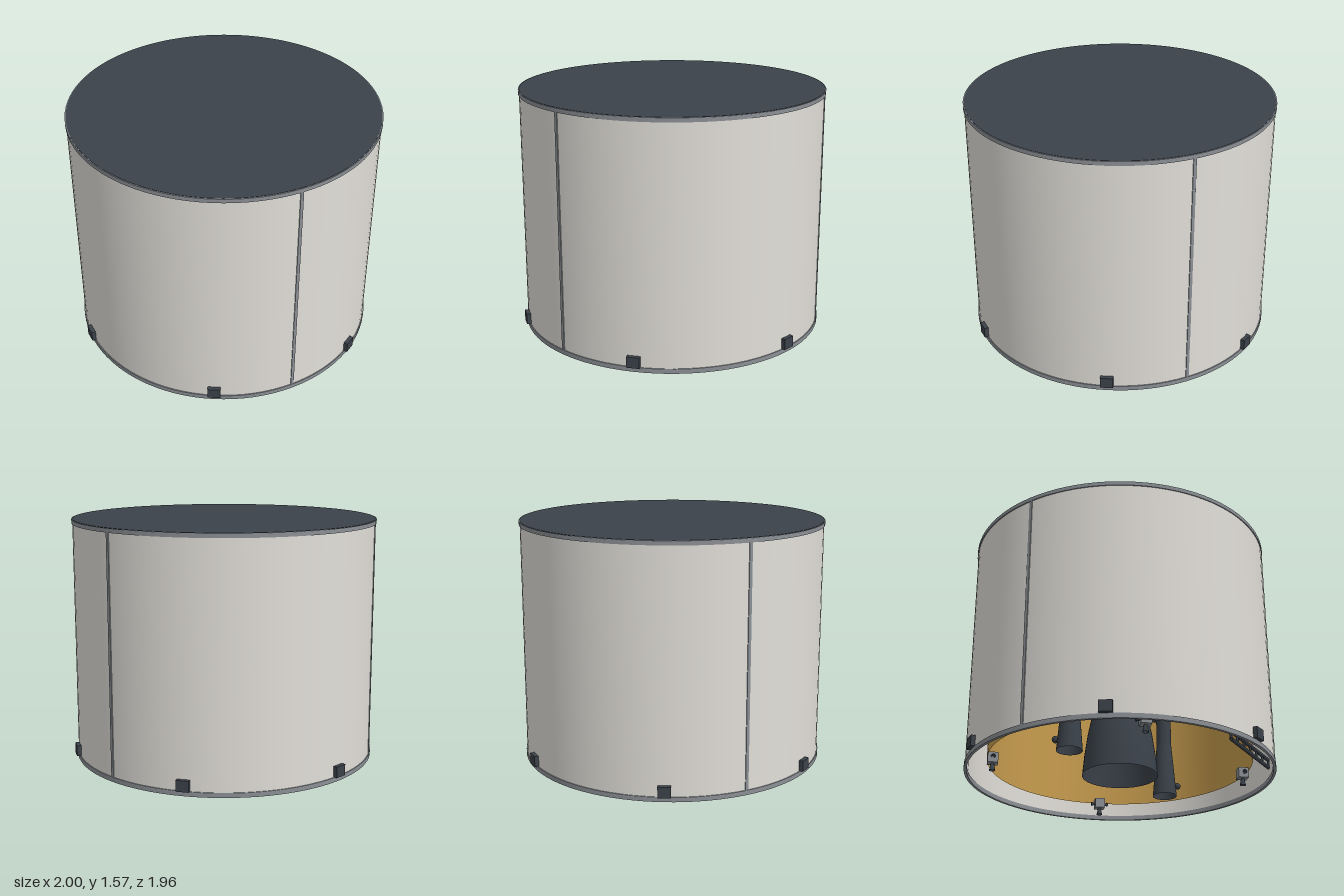
import * as THREE from 'three';
import { toCreasedNormals } from 'three/addons/utils/BufferGeometryUtils.js';

const mat = (name, color, side = THREE.FrontSide) => {
  const m = new THREE.MeshStandardMaterial({ color, side });
  m.name = name;
  return m;
};
const DEG = Math.PI / 180;

export function createModel() {
  const white = mat('warm white', 0xe2dfd9);
  const grey = mat('metal grey', 0x8b9095);
  const dark = mat('dark slate', 0x3b424a, THREE.DoubleSide);
  const gold = mat('gold foil', 0xc79c4e, THREE.DoubleSide);

  const model = new THREE.Group();
  model.name = 'engineSection';

  const add = (name, geometry, material, x = 0, y = 0, z = 0, parent = model) => {
    const mesh = new THREE.Mesh(geometry, material);
    mesh.name = name;
    mesh.position.set(x, y, z);
    parent.add(mesh);
    return mesh;
  };
  const lathe = (pts, segments = 96) =>
    toCreasedNormals(new THREE.LatheGeometry(pts.map(p => new THREE.Vector2(...p)), segments), 0.6);
  // Closed ring with a rectangular section
  const ring = (r0, r1, y0, y1) => lathe([[r0, y0], [r1, y0], [r1, y1], [r0, y1], [r0, y0]]);
  // Group turned so that its local +x points outwards at an angle from +x towards +z
  const radial = (name, angle) => {
    const g = new THREE.Group();
    g.name = name;
    g.rotation.y = -angle * DEG;
    model.add(g);
    return g;
  };
  // Round strut between two points
  const strut = (name, a, b, r, material) => {
    const p = new THREE.Vector3(...a), q = new THREE.Vector3(...b);
    const m = add(name, new THREE.CylinderGeometry(r, r, p.distanceTo(q), 10), material);
    m.position.copy(p).lerp(q, 0.5);
    m.quaternion.setFromUnitVectors(new THREE.Vector3(0, 1, 0), q.sub(p).normalize());
    return m;
  };

  // Outer shell, end rings and top cover
  add('shell', ring(0.965, 0.974, 0.03, 1.55), white);
  add('bottomRing', ring(0.962, 0.98, 0.012, 0.042), grey);
  add('topRing', ring(0.95, 0.98, 1.54, 1.566), grey);
  add('topCover', new THREE.CylinderGeometry(0.974, 0.974, 0.012, 96), dark, 0, 1.562, 0);

  // Three split lines between the shell panels
  for (let i = 0; i < 3; i++) {
    const g = radial('panelSeam', 26 + i * 120);
    add('seamStrip', new THREE.BoxGeometry(0.012, 1.5, 0.02), grey, 0.973, 0.79, 0, g);
  }

  // Six latches round the foot of the shell
  for (let i = 0; i < 6; i++) {
    const g = radial('latch', -4 + i * 60);
    add('latchBlock', new THREE.BoxGeometry(0.032, 0.07, 0.08), dark, 0.984, 0.079, 0, g);
  }

  // Foil-covered inner bay, closed by a bulkhead
  add('foilLiner', new THREE.CylinderGeometry(0.84, 0.84, 1.2, 96, 1, true), gold, 0, 0.69, 0);
  add('foilBulkhead', new THREE.CylinderGeometry(0.84, 0.84, 0.02, 96), gold, 0, 1.28, 0);

  // Main engine bell with its chamber
  add('mainNozzle', new THREE.LatheGeometry([
    [0.24, 0.012], [0.228, 0.14], [0.208, 0.28], [0.18, 0.42], [0.14, 0.56], [0.09, 0.68], [0.065, 0.74],
  ].map(p => new THREE.Vector2(...p)), 48), dark);
  add('mainChamber', new THREE.CylinderGeometry(0.13, 0.13, 0.55, 32), dark, 0, 1.0, 0);
  add('chamberThroat', new THREE.CylinderGeometry(0.13, 0.065, 0.06, 32), dark, 0, 0.75, 0);

  // Pair of small steering engines
  for (const s of [1, -1]) {
    const x = -0.44 * s, z = 0.3 * s;
    add('steeringNozzle', new THREE.CylinderGeometry(0.05, 0.08, 0.36, 28, 1, true), dark, x, 0.2, z);
    add('steeringChamber', new THREE.CylinderGeometry(0.05, 0.05, 0.9, 20), dark, x, 0.82, z);
    add('steeringValve', new THREE.SphereGeometry(0.022, 12, 8), dark, x - 0.08 * s, 0.09, z - 0.03 * s);
  }

  // Propellant tanks beside the engine
  const greyTank = add('greyTank', new THREE.SphereGeometry(0.155, 32, 20), grey, 0.27, 0.6, 0.4);
  greyTank.scale.y = 0.8;
  add('whiteTank', new THREE.SphereGeometry(0.18, 32, 20), white, -0.33, 0.59, 0.1);
  add('tankOutlet', new THREE.CylinderGeometry(0.05, 0.04, 0.06, 20), white, -0.33, 0.4, 0.1);
  strut('tankBrace', [0.27, 0.6, 0.4], [0.08, 0.62, 0.1], 0.025, dark);
  strut('tankBrace', [-0.33, 0.6, 0.1], [-0.08, 0.68, 0.02], 0.025, dark);
  strut('tankHanger', [0.27, 0.65, 0.4], [0.27, 1.28, 0.4], 0.03, grey);
  strut('tankHanger', [-0.33, 0.65, 0.1], [-0.33, 1.28, 0.1], 0.03, grey);

  // Four attitude thruster blocks under the bay
  for (let i = 0; i < 4; i++) {
    const g = radial('attitudeThruster', 11 + i * 90);
    add('thrusterBlock', new THREE.BoxGeometry(0.066, 0.066, 0.066), grey, 0.805, 0.078, 0, g);
    add('downNozzle', new THREE.CylinderGeometry(0.01, 0.02, 0.045, 14, 1, true), dark, 0.805, 0.0225, 0, g);
    for (const s of [1, -1]) {
      const n = add('sideNozzle', new THREE.CylinderGeometry(0.006, 0.014, 0.025, 12, 1, true), dark, 0.805, 0.075, s * 0.045, g);
      n.rotation.x = -s * Math.PI / 2;
    }
  }

  // Stowed ladder in the gap between foil and shell
  for (const y of [0.05, 0.1]) strut('ladderRail', [0.4, y, 0.76], [0.85, y, 0.39], 0.012, dark);
  for (let i = 0; i <= 6; i++) {
    const t = i / 6, x = 0.4 + 0.45 * t, z = 0.76 - 0.37 * t;
    strut('ladderRung', [x, 0.05, z], [x, 0.1, z], 0.008, dark);
  }
  return model;
}
